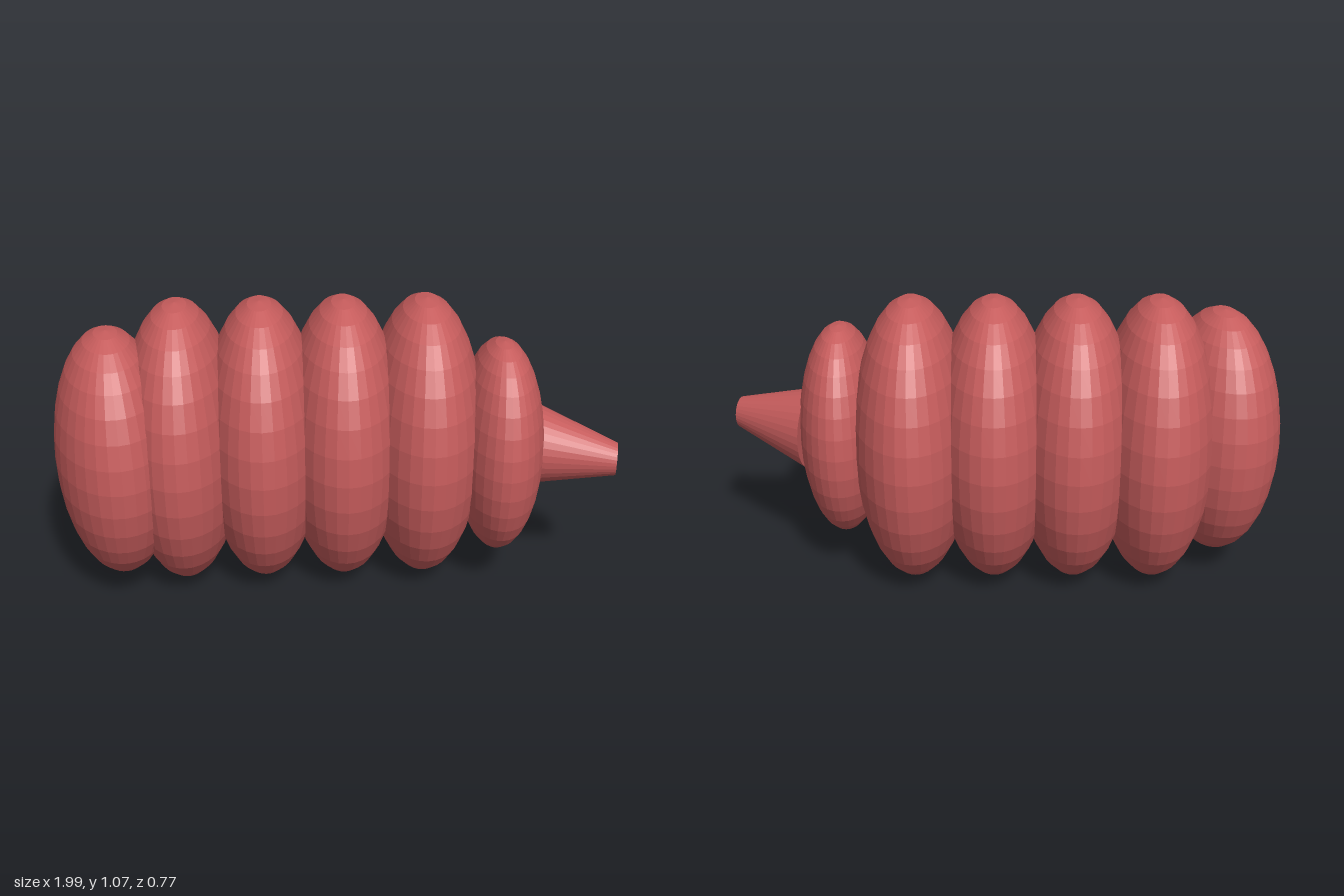
import * as THREE from 'three';

export function createModel() {
  const group = new THREE.Group();
  const red = new THREE.MeshStandardMaterial({ color: 0xc65c5c, flatShading: true });
  red.name = 'muted red';
  const midY = 0.539;
  const ball = new THREE.SphereGeometry(1, 32, 16);

  // One flattened ellipsoid segment with its poles up and down
  function segment(name, x, z, rx, ry, rz, turn = 0) {
    const mesh = new THREE.Mesh(ball, red);
    mesh.name = name;
    mesh.position.set(x, midY, z);
    mesh.scale.set(rx, ry, rz);
    mesh.rotation.y = turn;
    group.add(mesh);
  }

  // Four equal body segments
  for (let i = 0; i < 4; i++) {
    segment('bodySegment' + (i + 1), -0.55 + i * 0.29, -0.01, 0.214, 0.535, 0.377);
  }

  // Smaller end segments, the broad one slightly turned
  segment('broadEndSegment', -0.783, 0.06, 0.211, 0.467, 0.325, 0.172);
  segment('narrowEndSegment', 0.583, 0.078, 0.155, 0.403, 0.286);

  // Slanted tapering nozzle, with both discs parallel
  const base = new THREE.Vector3(0.698, midY, 0.07);
  const tip = new THREE.Vector3(0.981, midY, 0.211);
  const nozzleShape = new THREE.CylinderGeometry(0.0575, 0.149, 1, 32);
  const slant = new THREE.Matrix4().makeBasis(
    new THREE.Vector3(-0.234, 0, 0.972),
    tip.clone().sub(base),
    new THREE.Vector3(0, 1, 0)
  );
  slant.setPosition(base.clone().add(tip).multiplyScalar(0.5));
  nozzleShape.applyMatrix4(slant);
  const nozzle = new THREE.Mesh(nozzleShape, red);
  nozzle.name = 'nozzle';
  group.add(nozzle);

  return group;
}
